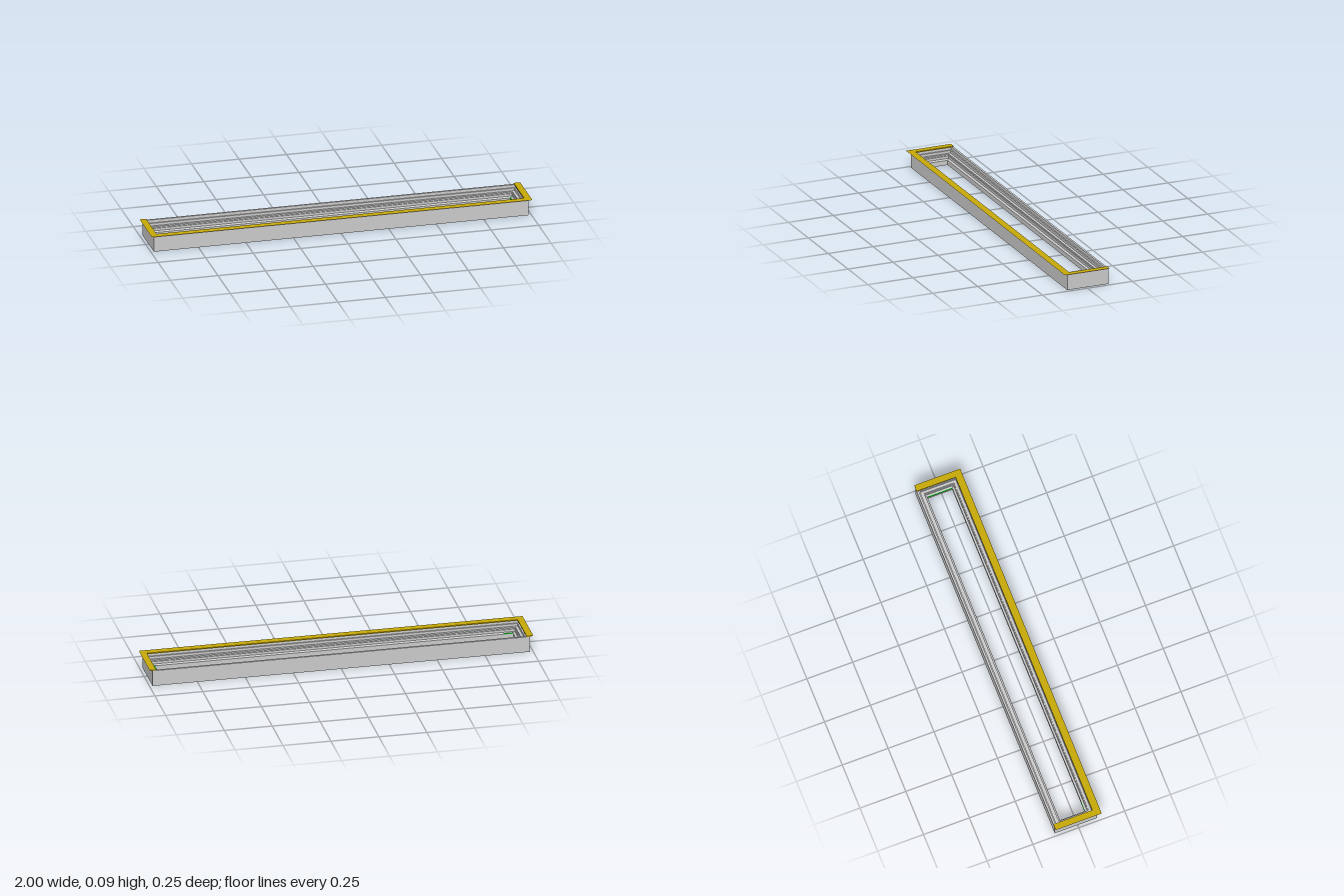
import * as THREE from 'three';

// Skins a row of matching cross-sections with flat quads; an open row gets end caps.
function skin(sections, closed) {
  const pos = [];
  const quad = (a, b, c, d) => pos.push(...a, ...b, ...c, ...a, ...c, ...d);
  const n = sections.length, m = sections[0].length;
  for (let i = 0; i < (closed ? n : n - 1); i++) {
    const s = sections[i], t = sections[(i + 1) % n];
    for (let j = 0; j < m; j++) {
      const k = (j + 1) % m;
      quad(s[j], t[j], t[k], s[k]);
    }
  }
  if (!closed) {
    quad(...sections[0]);
    quad(...[...sections[n - 1]].reverse());
  }
  const geo = new THREE.BufferGeometry();
  geo.setAttribute('position', new THREE.Float32BufferAttribute(pos, 3));
  geo.computeVertexNormals();
  return geo;
}

const HALF = 0.984, FRONT = 0.105, BACK = -0.125;

// Mitred rectangular ring from a profile of [inset, height] points.
function ring(profile) {
  const corners = [[-1, 1], [1, 1], [1, -1], [-1, -1]];
  return skin(corners.map(([sx, sz]) => profile.map(([d, y]) =>
    [sx * (HALF - d), y, sz > 0 ? FRONT - d : BACK + d])), true);
}

export function createModel() {
  const group = new THREE.Group();
  const add = (name, geometry, color = 0xcccccc) => {
    const mesh = new THREE.Mesh(geometry, new THREE.MeshStandardMaterial({ color, side: THREE.DoubleSide }));
    mesh.name = name;
    group.add(mesh);
    return mesh;
  };

  // Outer casing with a thin rim and a ledge inside
  add('outerFrame', ring([
    [0, 0], [0, 0.084], [0.011, 0.084], [0.011, 0.068], [0.018, 0.068],
    [0.018, 0.054], [0.032, 0.054], [0.032, 0],
  ]));

  // Inner sash, stepped down to the opening
  add('innerSash', ring([
    [0.032, 0.003], [0.032, 0.047], [0.037, 0.047], [0.037, 0.034],
    [0.047, 0.028], [0.047, 0.003],
  ]));

  // Tapered trim along both ends and the front, open at the back
  const trim = [[-0.018, 0.083], [0, 0.083], [1, 0.089], [-0.018, 0.089]];
  const path = [[-1, 0], [-1, 1], [1, 1], [1, 0]];
  add('trimFlange', skin(path.map(([sx, f]) => trim.map(([o, y]) => [
    sx * (HALF + (o === 1 ? 0.016 : o)), y,
    f ? FRONT + (o === 1 ? 0.02 : o) : BACK,
  ])), false), 0xc8aa08);

  // Slim seal at the left end of the opening, returning along the front
  const seal = add('endSeal', new THREE.BoxGeometry(0.005, 0.006, 0.134), 0x22cc33);
  seal.position.set(0.936, 0.03, -0.01);
  const sealReturn = add('frontSeal', new THREE.BoxGeometry(0.05, 0.006, 0.003), 0x22cc33);
  sealReturn.position.set(-0.91, 0.03, 0.057);

  return group;
}
